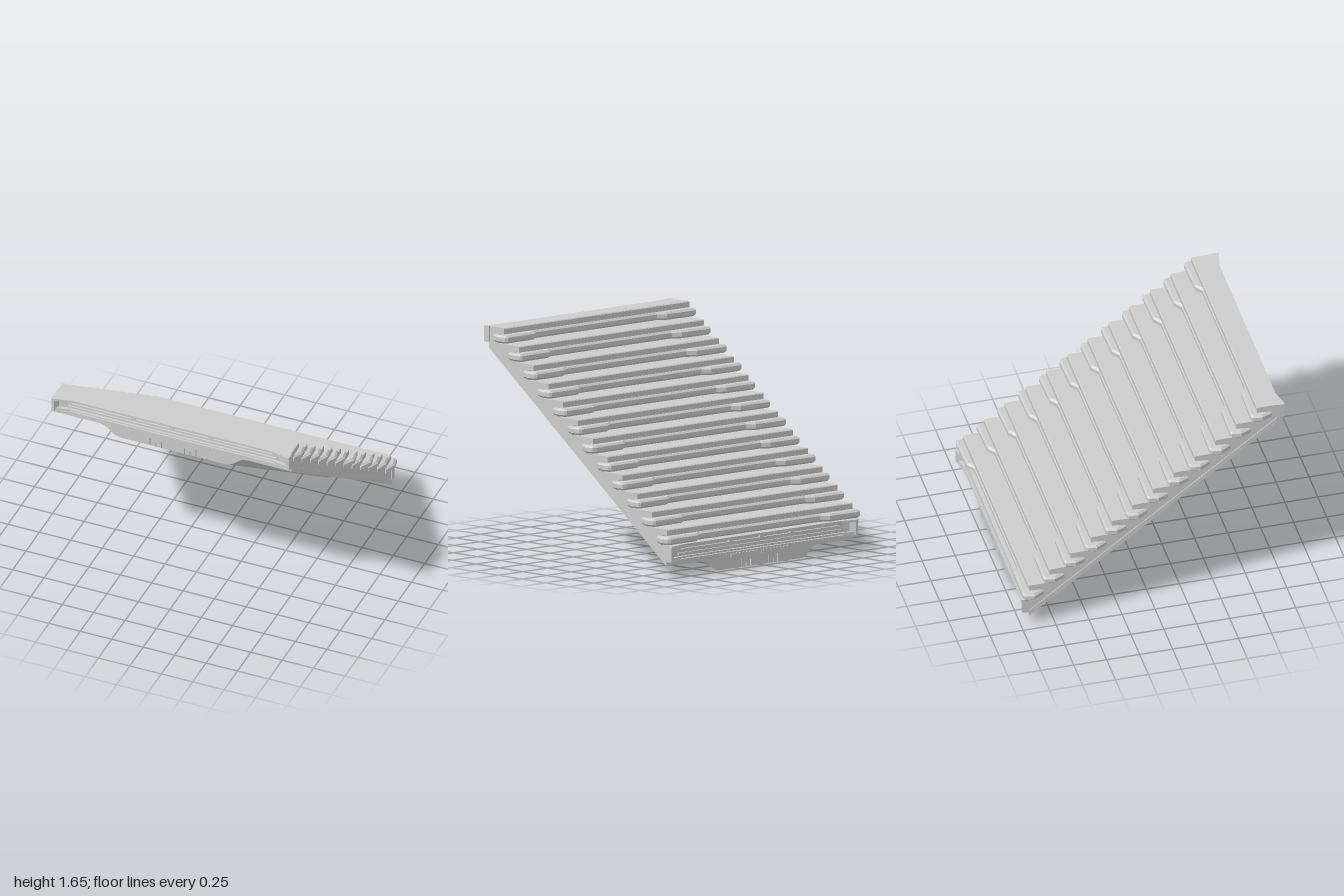
import * as THREE from 'three';

const grey = new THREE.MeshStandardMaterial({ color: 0xcccccc, flatShading: true, side: THREE.DoubleSide });
const STEPS = 12, RUN = 0.1573, RISE = 0.1182, SLOPE = 0.75;
const END = 0.94, TOP = 1.66, HALF = 0.945;

function add(parent, name, geometry) {
  const mesh = new THREE.Mesh(geometry, grey);
  mesh.name = name;
  parent.add(mesh);
  return mesh;
}

function box(parent, name, w, h, d, x, y, z) {
  add(parent, name, new THREE.BoxGeometry(w, h, d)).position.set(x, y, z);
}

const polygon = (pts) => new THREE.Shape(pts.map(([x, y]) => new THREE.Vector2(x, y)));

// Plan outline (x, z) extruded upwards from y0 to y1
function plan(pts, y0, y1, bevel = 0) {
  const g = new THREE.ExtrudeGeometry(polygon(pts), {
    depth: y1 - y0 - 2 * bevel, bevelEnabled: bevel > 0, bevelSegments: 1,
    bevelSize: bevel, bevelThickness: bevel, bevelOffset: -bevel,
  });
  return g.rotateX(Math.PI / 2).translate(0, y1 - bevel, 0);
}

// Sawtooth run of treads, noses and undercut risers
function stepsGeometry() {
  const pts = [[END, 1.52], [END, TOP]];
  for (let i = 0; i < STEPS; i++) {
    const n = 0.79 - i * RUN, y = TOP - i * RISE;
    pts.push([n + 0.006, y], [n, y - 0.006], [n, y - 0.045], [n + 0.04, y - 0.045],
      [n + 0.06, y - 0.065], [n + 0.06, y - RISE]);
  }
  pts.push([-END, TOP - STEPS * RISE], [-END, 0.11]);
  const w = 2 * (HALF - 0.006);
  return new THREE.ExtrudeGeometry(polygon(pts), { depth: w, bevelEnabled: false })
    .rotateY(-Math.PI / 2).translate(w / 2, 0, 0);
}

// Sloping slab with a deeper, grooved middle
function slabGeometry() {
  const s = new THREE.Shape();
  s.moveTo(-HALF, 0.045);
  s.lineTo(-HALF, 0);
  s.lineTo(-0.6, 0);
  s.bezierCurveTo(-0.5, 0, -0.5, -0.085, -0.41, -0.085);
  for (const [x, d] of [[-0.182, 0.065], [-0.137, 0.035], [-0.092, 0.06], [0.092, 0.05], [0.137, 0.035], [0.182, 0.065]]) {
    s.lineTo(x - 0.004, -0.085);
    s.lineTo(x - 0.004, -0.085 + d);
    s.lineTo(x + 0.004, -0.085 + d);
    s.lineTo(x + 0.004, -0.085);
  }
  s.lineTo(0.41, -0.085);
  s.bezierCurveTo(0.5, -0.085, 0.5, 0, 0.6, 0);
  s.lineTo(HALF, 0);
  s.lineTo(HALF, 0.045);
  const g = new THREE.ExtrudeGeometry(s, { depth: 2 * END, bevelEnabled: false, curveSegments: 10 });
  g.translate(0, 0, -END);
  const p = g.attributes.position;
  for (let i = 0; i < p.count; i++) p.setY(i, p.getY(i) + 0.795 + SLOPE * p.getZ(i));
  g.computeVertexNormals();
  return g;
}

// Bar below each nose, stepped forward near both ends
function barGeometry(n, y, left, right) {
  const half = (tip) => [[0.61, n - 0.003], [0.67, n - 0.045], [0.95, n - 0.052],
    [tip - 0.012, n - 0.04], [tip, n + 0.03], [0.945, n + 0.11]];
  const pts = [...half(right), ...half(left).reverse().map(([x, z]) => [-x, z])];
  return plan(pts, y - 0.108, y - 0.05, 0.014);
}

// End panel: flared frame around a slatted recess, local z = 0 against the body
function endPanel(name) {
  const g = new THREE.Group();
  g.name = name;
  const lip = [[-HALF, 0], [HALF, 0], [HALF, 0.057], [0.925, 0.057], [0.8, 0.026],
    [-0.8, 0.026], [-0.925, 0.057], [-HALF, 0.057]];
  add(g, 'topLip', plan(lip, 0.104, 0.12));
  add(g, 'bottomLip', plan(lip.map(([x, z]) => [x, z * 0.85]), 0, 0.012));
  for (const s of [-1, 1]) {
    add(g, 'sideCheek', plan([[s * HALF, 0], [s * HALF, 0.055], [s * 0.925, 0.053], [s * 0.9, 0.012], [s * 0.84, 0]], 0.005, 0.11));
    add(g, 'cornerBrace', plan([[s * 0.93, 0], [s * 0.93, 0.045], [s * 0.82, 0.022], [s * 0.8, 0]], 0.012, 0.03));
    box(g, 'slotCover', 0.28, 0.028, 0.008, s * 0.153, -0.02, 0.002);
    box(g, 'slotRim', 0.25, 0.008, 0.012, s * 0.153, -0.012, 0.004);
  }
  box(g, 'upperSlat', 1.6, 0.008, 0.02, 0, 0.083, 0.01);
  box(g, 'middleSlat', 1.66, 0.014, 0.016, 0, 0.05, 0.008);
  box(g, 'lowerSlat', 1.66, 0.008, 0.022, 0, 0.027, 0.011);
  for (const x of [-0.31, 0, 0.31]) box(g, 'tie', 0.035, 0.026, 0.022, x, 0.094, 0.011);
  return g;
}

export function createModel() {
  const model = new THREE.Group();
  model.name = 'staircase';
  add(model, 'steps', stepsGeometry());
  add(model, 'slab', slabGeometry());

  // Bars, some with longer pointed ends
  const longLeft = [2, 3, 6, 8, 11], longRight = [6, 8];
  for (let i = 0; i < STEPS; i++) {
    const tip = (list) => (list.includes(i) ? 0.992 : 0.98);
    add(model, 'noseBar', barGeometry(0.79 - i * RUN, TOP - i * RISE, tip(longLeft), tip(longRight)));
  }

  const upper = endPanel('upperEndPanel');
  upper.position.set(0, 1.54, END);
  const lower = endPanel('lowerEndPanel');
  lower.position.set(0, 1.54 - STEPS * RISE, -END);
  lower.rotation.y = Math.PI;
  model.add(upper, lower);
  return model;
}
